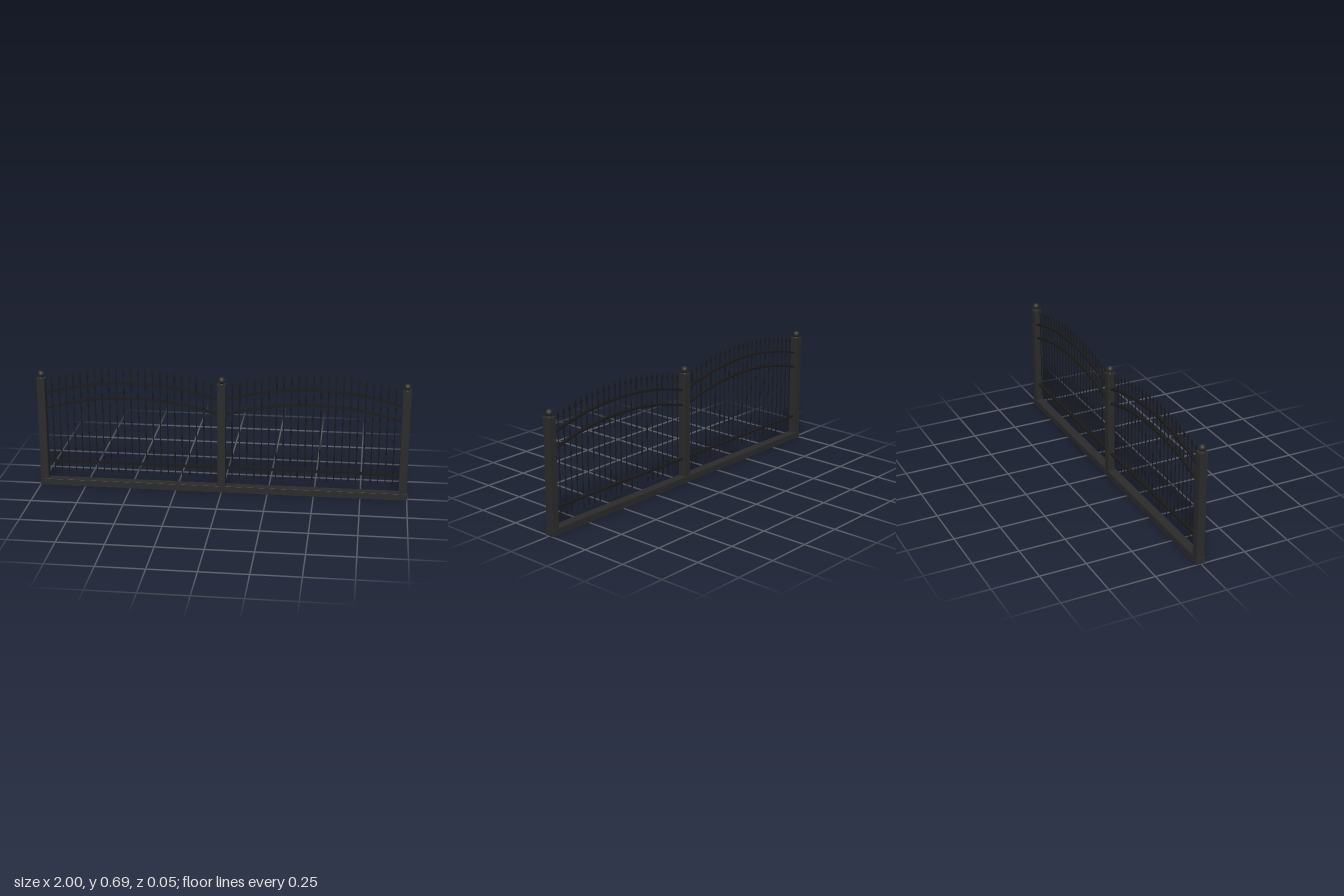
import * as THREE from 'three';
import { RoundedBoxGeometry } from 'three/addons/geometries/RoundedBoxGeometry.js';

const HALF = 0.4665;      // half the opening of one gate leaf
const MID = 0.4885;       // centre of each leaf on x
const RISE = 0.072;       // how far the arched rails rise

const arch = (x) => RISE * (1 - (x / HALF) ** 2);

export function createModel() {
  const group = new THREE.Group();
  group.name = 'ironGate';
  const frame = new THREE.MeshStandardMaterial({ name: 'charcoal frame', color: 0x2b2b2b });
  const iron = new THREE.MeshStandardMaterial({ name: 'black iron', color: 0x1a1a1a });

  const add = (parent, name, geometry, material, x = 0, y = 0, z = 0) => {
    const mesh = new THREE.Mesh(geometry, material);
    mesh.name = name;
    mesh.position.set(x, y, z);
    parent.add(mesh);
    return mesh;
  };

  // Ground beam
  add(group, 'groundBeam', new RoundedBoxGeometry(2, 0.037, 0.05, 1, 0.0015), frame, 0, 0.0185);

  // Posts with cap plate, neck and ball finial
  const postGeo = new RoundedBoxGeometry(0.044, 0.6, 0.044, 1, 0.0025);
  const capGeo = new THREE.BoxGeometry(0.047, 0.005, 0.047);
  const neckGeo = new THREE.CylinderGeometry(0.008, 0.012, 0.008, 16);
  const ballGeo = new THREE.SphereGeometry(0.019, 24, 16);
  for (const x of [-0.976, 0, 0.976]) {
    const post = new THREE.Group();
    post.name = 'post';
    post.position.x = x;
    add(post, 'postShaft', postGeo, frame, 0, 0.309);
    add(post, 'postCap', capGeo, frame, 0, 0.6095);
    add(post, 'finialNeck', neckGeo, frame, 0, 0.615);
    add(post, 'finialBall', ballGeo, frame, 0, 0.633);
    group.add(post);
  }

  // Arched rail: a band between two parallel curves
  const railShape = new THREE.Shape();
  const steps = 28, thick = 0.011, depth = 0.018;
  const railX = (i) => -HALF + (2 * HALF * i) / steps;
  railShape.moveTo(-HALF, -thick / 2);
  for (let i = 1; i <= steps; i++) railShape.lineTo(railX(i), arch(railX(i)) - thick / 2);
  for (let i = steps; i >= 0; i--) railShape.lineTo(railX(i), arch(railX(i)) + thick / 2);
  const archGeo = new THREE.ExtrudeGeometry(railShape, { depth, bevelEnabled: false });
  archGeo.translate(0, 0, -depth / 2);
  const lowRailGeo = new THREE.BoxGeometry(2 * HALF, thick, depth);

  // Flat spearhead, with its tip at the origin
  const spear = new THREE.Shape();
  spear.moveTo(0, 0);
  spear.lineTo(-0.0095, -0.029);
  spear.lineTo(-0.003, -0.036);
  spear.lineTo(0.003, -0.036);
  spear.lineTo(0.0095, -0.029);
  const spearGeo = new THREE.ExtrudeGeometry(spear, { depth: 0.003, bevelEnabled: false });
  spearGeo.translate(0, 0, -0.0015);
  const collarGeo = new THREE.CylinderGeometry(0.0055, 0.0055, 0.006, 10);

  // Two gate leaves
  const count = 23, bottom = 0.08;
  for (const side of [-1, 1]) {
    const leaf = new THREE.Group();
    leaf.name = side > 0 ? 'leftLeaf' : 'rightLeaf';
    leaf.position.x = side * MID;
    add(leaf, 'upperArchRail', archGeo, iron, 0, 0.525);
    add(leaf, 'lowerArchRail', archGeo, iron, 0, 0.441);
    add(leaf, 'bottomRail', lowRailGeo, iron, 0, 0.138);

    // Pickets follow the arch
    for (let i = 0; i < count; i++) {
      const x = (i - (count - 1) / 2) * 0.0392;
      const tip = 0.616 + arch(x);
      const height = tip - 0.03 - bottom;
      add(leaf, 'picket', new THREE.CylinderGeometry(0.003, 0.003, height, 8), iron, x, bottom + height / 2);
      add(leaf, 'picketCollar', collarGeo, iron, x, tip - 0.046);
      add(leaf, 'spearhead', spearGeo, iron, x, tip);
    }
    group.add(leaf);
  }
  return group;
}
